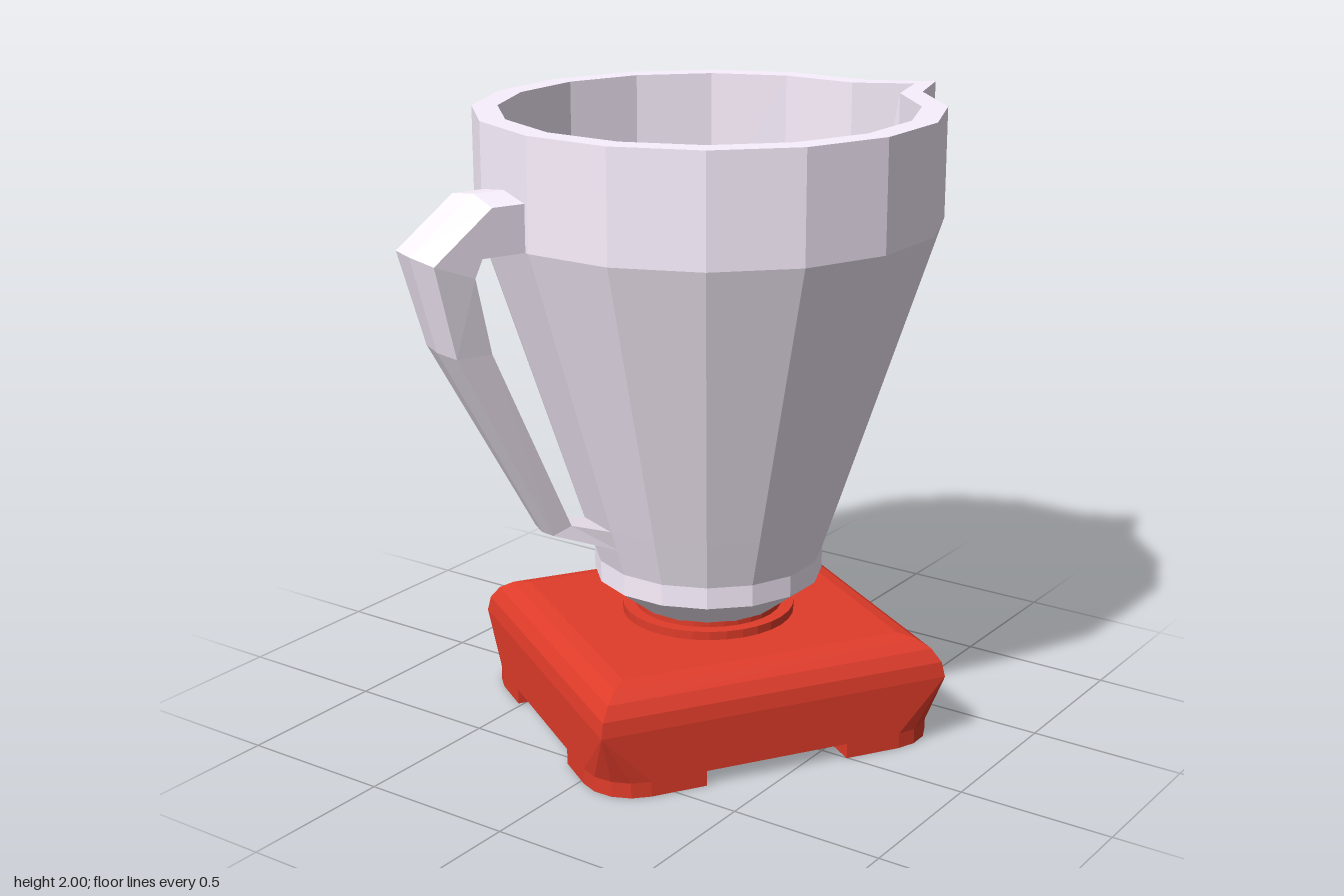
import * as THREE from 'three';

const V = (x, y, z) => new THREE.Vector3(x, y, z);
const JUG = 0xfbf1ff, RED = 0xe03c2a, YELLOW = 0xb5a136, GREEN = 0x2fae45;

function part(name, geometry, color) {
  const material = new THREE.MeshStandardMaterial({ color, flatShading: true });
  const mesh = new THREE.Mesh(geometry, material);
  mesh.name = name;
  return mesh;
}

// Skin closed rings (equal point counts), closing both ends at their centres
function loft(rings) {
  const n = rings[0].length;
  const centre = (ring) => {
    const c = ring.reduce((s, p) => s.add(p), V(0, 0, 0)).divideScalar(n);
    return ring.map(() => c);
  };
  const all = [centre(rings[0]), ...rings, centre(rings[rings.length - 1])];
  const pos = [];
  const tri = (a, b, c) => {
    if (new THREE.Triangle(a, b, c).getArea() < 1e-7) return;
    for (const p of [a, b, c]) pos.push(p.x, p.y, p.z);
  };
  for (let i = 0; i + 1 < all.length; i++) {
    for (let j = 0; j < n; j++) {
      const k = (j + 1) % n;
      tri(all[i][j], all[i + 1][j], all[i][k]);
      tri(all[i + 1][j], all[i + 1][k], all[i][k]);
    }
  }
  const g = new THREE.BufferGeometry();
  g.setAttribute('position', new THREE.Float32BufferAttribute(pos, 3));
  g.computeVertexNormals();
  return g;
}

// Sixteen-sided ring with one extra point, the spout tip, in the middle of an edge
function jugRing([r, y, tip = r * Math.cos(Math.PI / 16)]) {
  const ring = [];
  for (let k = 0; k < 16; k++) {
    const a = (k + 0.5) * Math.PI / 8;
    ring.push(V(r * Math.cos(a), y, r * Math.sin(a)));
    if (k === 12) {
      const s = 13 * Math.PI / 8;
      ring.push(V(tip * Math.cos(s), y, tip * Math.sin(s)));
    }
  }
  return ring;
}

const HX = 0.55, HZ = 0.585, FOOT_R = 0.16, FOOT_IN = 0.24;
const SIGNS = [[1, 1], [-1, 1], [-1, -1], [1, -1]];

// Points of a rounded corner in quadrant q
function corner(q, hx, hz, r, y) {
  const [sx, sz] = SIGNS[q];
  const pts = [];
  for (let i = 0; i <= 4; i++) {
    const a = (q + i / 4) * Math.PI / 2;
    pts.push(V(sx * (hx - r) + r * Math.cos(a), y, sz * (hz - r) + r * Math.sin(a)));
  }
  return pts;
}

function buildBase() {
  const base = new THREE.Group();
  base.name = 'base';

  // Body: rounded footprint, sharp corners at mid height, rounded top edge
  const ring = (inset, r, y) => [0, 1, 2, 3].flatMap((q) => corner(q, HX - inset, HZ - inset, r, y));
  const rings = [ring(0, FOOT_R, 0.05)];
  for (let i = 0; i <= 4; i++) {
    const a = i / 4 * Math.PI / 2;
    rings.push(ring(0.116 * (1 - Math.cos(a)), 0, 0.22 + 0.127 * Math.sin(a)));
  }
  base.add(part('baseBody', loft(rings), RED));

  // Four corner feet
  SIGNS.forEach(([sx, sz], q) => {
    const inX = sx * FOOT_IN, inZ = sz * FOOT_IN;
    const foot = [0, 0.05].map((y) => {
      const ends = [V(sx * HX, y, inZ), V(inX, y, sz * HZ)];
      if (q % 2) ends.reverse();
      return [V(inX, y, inZ), ends[0], ...corner(q, HX, HZ, FOOT_R, y), ends[1]];
    });
    base.add(part('foot', loft(foot), RED));
  });

  // Stepped collar under the jug
  for (const [r, y0, y1] of [[0.28, 0.34, 0.375], [0.24, 0.37, 0.392]]) {
    const collar = part('collar', new THREE.CylinderGeometry(r, r, y1 - y0, 32), RED);
    collar.position.y = (y0 + y1) / 2;
    base.add(collar);
  }

  // Row of buttons on one side
  [[-0.33, YELLOW], [0, YELLOW], [0.32, GREEN]].forEach(([z, color]) => {
    const button = part('button', new THREE.BoxGeometry(0.03, 0.045, 0.15), color);
    button.position.set(-HX, 0.225, z);
    base.add(button);
  });

  base.rotation.y = THREE.MathUtils.degToRad(-32.2);
  return base;
}

function buildHandle() {
  // Each section: outer radius and height, inner radius and height, half width
  const sections = [
    [0.68, 1.8, 0.68, 1.655, 0.125],
    [0.82, 1.8, 0.855, 1.655, 0.125],
    [1.01, 1.65, 0.88, 1.6, 0.125],
    [0.935, 1.36, 0.82, 1.36, 0.1],
    [0.605, 0.735, 0.54, 0.755, 0.055],
    [0.387, 0.65, 0.395, 0.71, 0.08],
  ];
  const rings = sections.map(([ro, yo, ri, yi, w]) => [
    V(-w, yi, ri), V(-w, yo, ro),
    V(0, yo + (yo - yi) * 0.13, ro + (ro - ri) * 0.13),
    V(w, yo, ro), V(w, yi, ri),
  ]);
  const handle = part('handle', loft(rings), JUG);
  handle.rotation.y = -Math.PI / 8;
  return handle;
}

export function createModel() {
  const model = new THREE.Group();
  model.name = 'blender';

  // Jug: up the outside with its spout, over the rim and down the inside
  const profile = [
    [0.24, 0.39], [0.37, 0.49], [0.37, 0.56], [0.423, 0.72], [0.423, 0.72, 0.437],
    [0.73, 1.655, 0.882], [0.73, 2, 0.882],
    [0.65, 2, 0.795], [0.65, 1.5], [0.36, 0.58],
  ];
  const jug = new THREE.Group();
  jug.name = 'jug';
  jug.add(part('jugBody', loft(profile.map(jugRing)), JUG), buildHandle());

  model.add(buildBase(), jug);
  for (const child of model.children) child.position.z = -0.087;
  return model;
}
